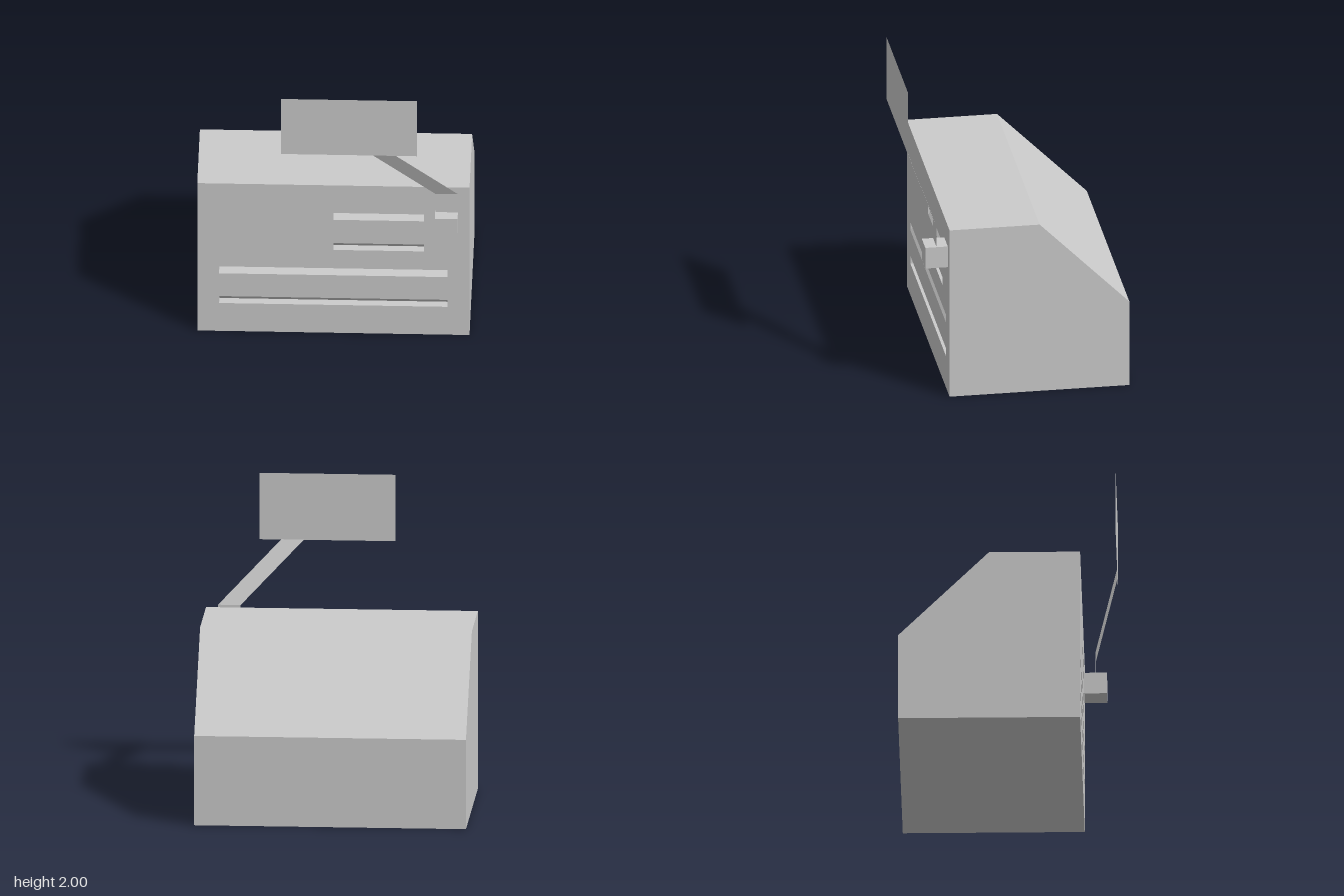
import * as THREE from 'three';

const material = new THREE.MeshStandardMaterial({ color: 0xcccccc, flatShading: true, side: THREE.DoubleSide });

// Flat-shaded mesh from convex polygons, each a counter-clockwise list of [x, y, z]
function polyMesh(name, polygons) {
  const pos = [];
  for (const p of polygons) {
    for (let i = 1; i < p.length - 1; i++) pos.push(...p[0], ...p[i], ...p[i + 1]);
  }
  const geo = new THREE.BufferGeometry();
  geo.setAttribute('position', new THREE.Float32BufferAttribute(pos, 3));
  geo.computeVertexNormals();
  const mesh = new THREE.Mesh(geo, material);
  mesh.name = name;
  return mesh;
}

// Quad spanning x0..x1 between two [z, y] profile points
const strip = (x0, x1, a, b) => [[x0, a[1], a[0]], [x1, a[1], a[0]], [x1, b[1], b[0]], [x0, b[1], b[0]]];
// Polygon of a [z, y] profile at a given x
const cap = (x, profile) => profile.map(([z, y]) => [x, y, z]);

const HALF = 0.87, FRONT = 0.473, BACK = -0.69, TOP = 1.165;
const SLOT_DEPTH = 0.055;

// Wedge-shaped slots: x range, y range, and whether the slope faces up
const SLOTS = [
  { x0: 0, x1: 0.58, y0: 0.893, y1: 0.947, up: true },
  { x0: 0, x1: 0.58, y0: 0.655, y1: 0.709, up: false },
  { x0: -0.73, x1: 0.73, y0: 0.455, y1: 0.51, up: true },
  { x0: -0.73, x1: 0.73, y0: 0.22, y1: 0.275, up: false },
];

const rect = (path, x0, y0, x1, y1) =>
  path.moveTo(x0, y0).lineTo(x1, y0).lineTo(x1, y1).lineTo(x0, y1).closePath();

export function createModel() {
  const model = new THREE.Group();
  model.name = 'slottedCabinet';

  // Cabinet shell with a sloped rear shoulder, open at the front
  const profile = [[FRONT, TOP], [-0.11, TOP], [BACK, 0.585], [BACK, 0], [FRONT, 0]];
  const shell = [cap(-HALF, profile), cap(HALF, [...profile].reverse())];
  for (let i = 0; i < profile.length - 1; i++) shell.push(strip(-HALF, HALF, profile[i], profile[i + 1]));
  model.add(polyMesh('cabinetShell', shell));

  // Front panel pierced by the slots
  const face = new THREE.Shape();
  rect(face, -HALF, 0, HALF, TOP);
  for (const s of SLOTS) {
    const hole = new THREE.Path();
    rect(hole, s.x0, s.y0, s.x1, s.y1);
    face.holes.push(hole);
  }
  const front = new THREE.Mesh(new THREE.ShapeGeometry(face), material);
  front.name = 'frontPanel';
  front.position.z = FRONT;
  model.add(front);

  // Recessed slot linings
  SLOTS.forEach(({ x0, x1, y0, y1, up }, i) => {
    const a = [FRONT, y0], b = [FRONT - SLOT_DEPTH, up ? y1 : y0], c = [FRONT, y1];
    model.add(polyMesh(`slot${i + 1}`, [
      strip(x0, x1, a, b), strip(x0, x1, b, c), cap(x0, [a, b, c]), cap(x1, [c, b, a]),
    ]));
  });

  // Bracket block on the front panel
  const block = new THREE.Mesh(new THREE.BoxGeometry(0.145, 0.145, 0.145), material);
  block.name = 'bracketBlock';
  block.position.set(0.725, 0.948, FRONT + 0.0725);
  model.add(block);

  // Thin post and leaning arm: sections of left edge x, y, z
  const W = 0.145;
  const sections = [[0.653, 1.02, 0.545], [0.653, 1.165, 0.545], [0.257, 1.567, 0.69]];
  ['post', 'arm'].forEach((name, i) => {
    const [p, q] = [sections[i], sections[i + 1]];
    model.add(polyMesh(name, [[p, [p[0] + W, p[1], p[2]], [q[0] + W, q[1], q[2]], q]]));
  });

  // Thin sign board
  const sign = new THREE.Mesh(new THREE.PlaneGeometry(0.87, 0.435), material);
  sign.name = 'signBoard';
  sign.position.set(0.107, 1.7825, 0.69);
  model.add(sign);

  return model;
}
